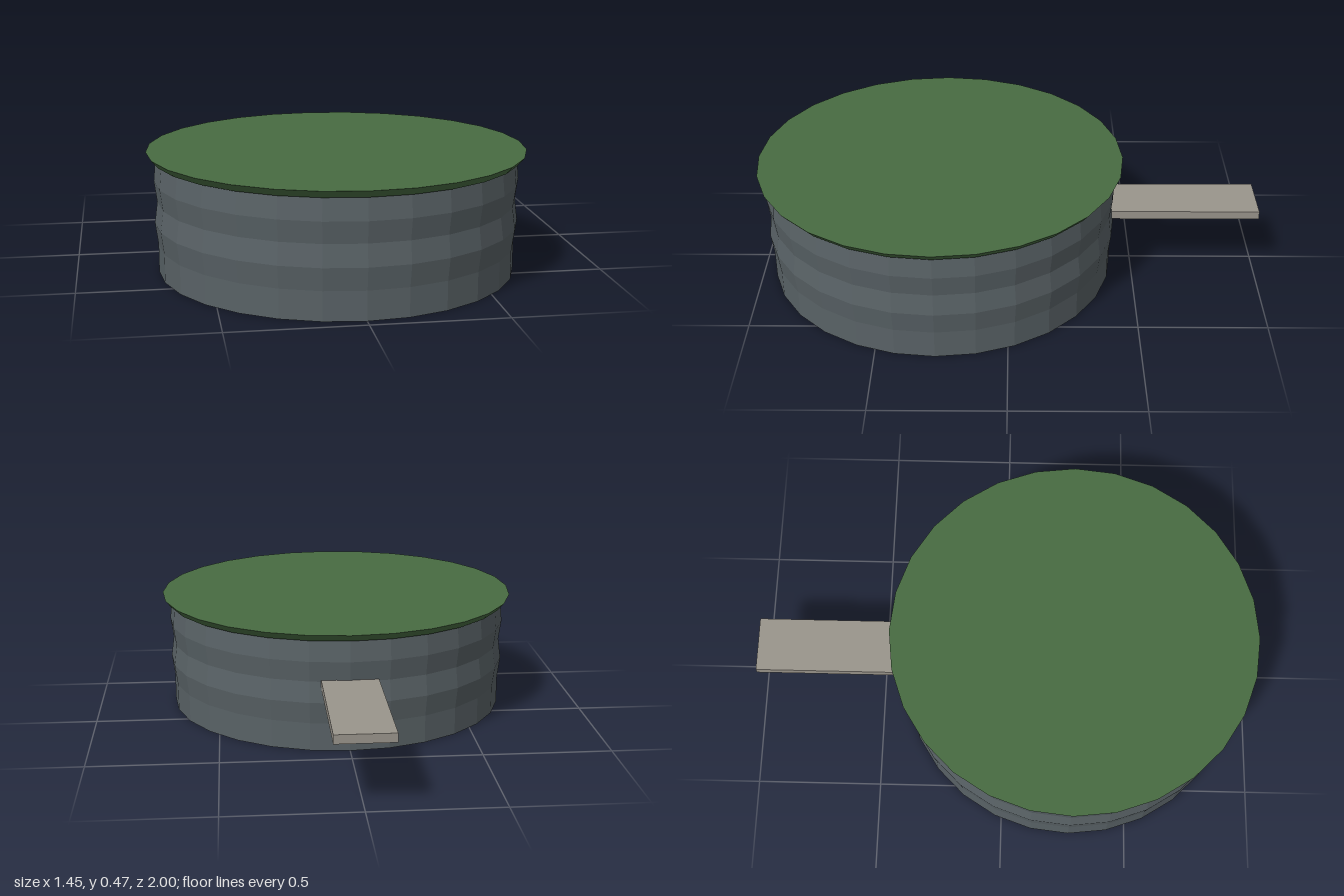
import * as THREE from 'three';

const SIDES = 28;
const CENTER_Z = 0.273;

function material(name, color) {
  const m = new THREE.MeshStandardMaterial({ color, flatShading: true, side: THREE.DoubleSide });
  m.name = name;
  return m;
}

export function createModel() {
  const group = new THREE.Group();
  group.name = 'lidded pan';

  const steel = material('blue grey steel', 0x596266);
  const green = material('lid green', 0x486b42);
  const stone = material('warm grey', 0x9a958c);

  function add(name, geometry, mat, x, y, z, parent = group) {
    const mesh = new THREE.Mesh(geometry, mat);
    mesh.name = name;
    mesh.position.set(x, y, z);
    parent.add(mesh);
    return mesh;
  }

  // Ribbed wall, open at the bottom
  const profile = [
    [0.688, 0], [0.688, 0.11], [0.699, 0.195],
    [0.688, 0.277], [0.699, 0.358], [0.691, 0.442],
  ].map(([r, y]) => new THREE.Vector2(r, y));
  add('wall', new THREE.LatheGeometry(profile, SIDES), steel, 0, 0, CENTER_Z);

  // Lid with an edge that flares upward
  add('lid', new THREE.CylinderGeometry(0.727, 0.703, 0.028, SIDES), green, 0, 0.456, CENTER_Z);

  // Handle: a channel open below and at its inner end
  const handle = new THREE.Group();
  handle.name = 'handle';
  group.add(handle);
  const width = 0.22, length = 0.59, height = 0.034;
  const midY = 0.267, midZ = -1 + length / 2;
  add('handleTop', new THREE.PlaneGeometry(width, length).rotateX(-Math.PI / 2), stone,
    0, midY + height / 2, midZ, handle);
  for (const s of [-1, 1]) {
    add(s > 0 ? 'handleLeftSide' : 'handleRightSide',
      new THREE.PlaneGeometry(length, height).rotateY(s * Math.PI / 2), stone,
      s * width / 2, midY, midZ, handle);
  }
  add('handleEnd', new THREE.PlaneGeometry(width, height).rotateY(Math.PI), stone,
    0, midY, -1, handle);

  return group;
}
